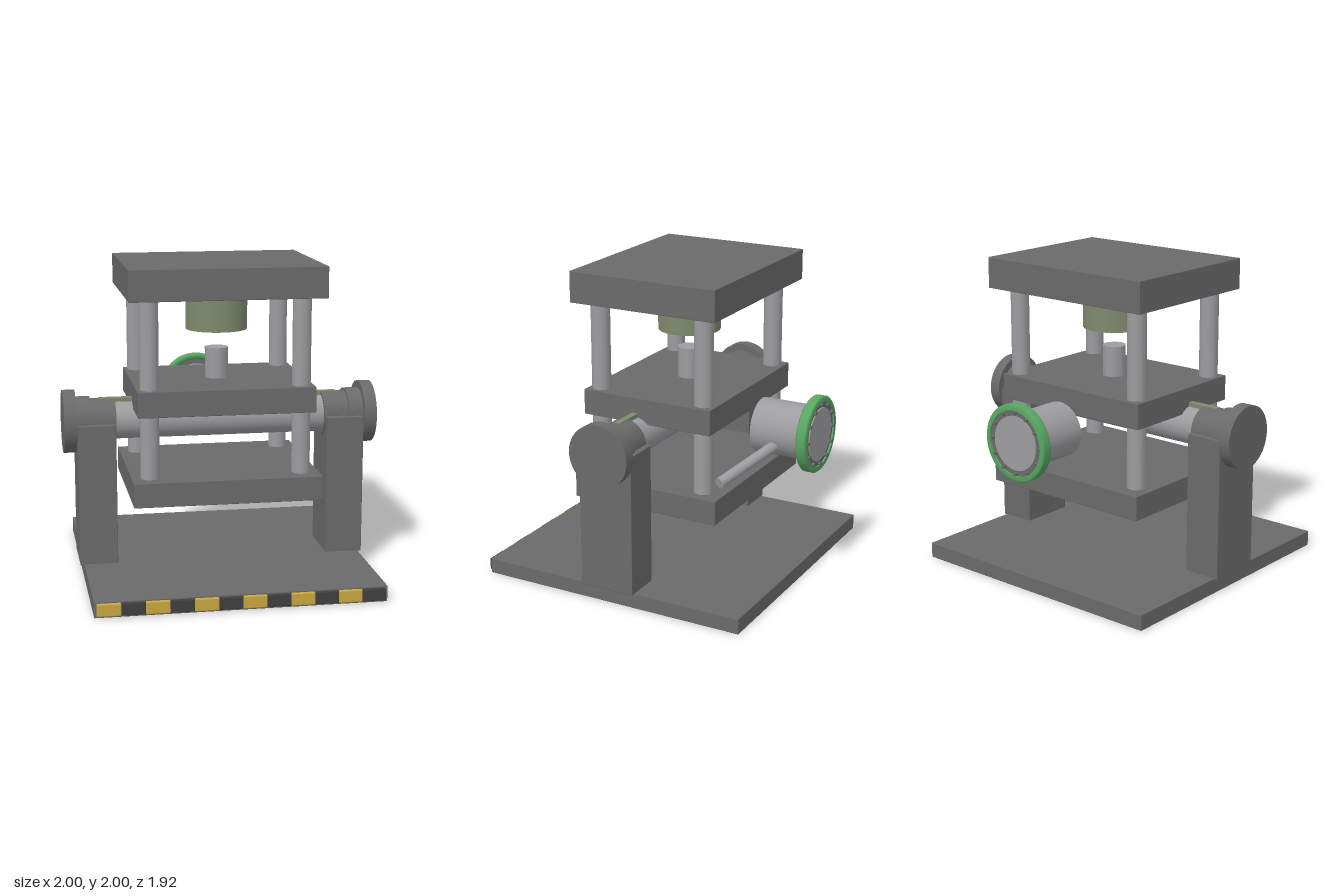
import * as THREE from 'three';
import { RoundedBoxGeometry } from 'three/addons/geometries/RoundedBoxGeometry.js';

const mat = (name, color) => {
  const m = new THREE.MeshStandardMaterial({ color });
  m.name = name;
  return m;
};

export function createModel() {
  const darkSteel = mat('dark steel', 0x6a6a6a);
  const polishedSteel = mat('polished steel', 0x9d9da0);
  const olive = mat('olive', 0x7f8a6c);
  const green = mat('green', 0x58a662);
  const yellow = mat('hazard yellow', 0xcaa840);
  const black = mat('hazard black', 0x404040);

  const model = new THREE.Group();
  model.name = 'tiltingPress';

  const add = (name, geometry, material, x = 0, y = 0, z = 0) => {
    const mesh = new THREE.Mesh(geometry, material);
    mesh.name = name;
    mesh.position.set(x, y, z);
    model.add(mesh);
    return mesh;
  };
  // Box given by its limits on each axis
  const box = (name, material, x0, x1, y0, y1, z0, z1, r = 0.004) =>
    add(name, new RoundedBoxGeometry(x1 - x0, y1 - y0, z1 - z0, 1, r), material,
      (x0 + x1) / 2, (y0 + y1) / 2, (z0 + z1) / 2);
  // Round bar between two points
  const bar = (name, material, a, b, r, sides = 40) => {
    const from = new THREE.Vector3(...a), to = new THREE.Vector3(...b);
    const dir = to.clone().sub(from);
    const mesh = add(name, new THREE.CylinderGeometry(r, r, dir.length(), sides), material);
    mesh.position.copy(from).add(to).multiplyScalar(0.5);
    mesh.quaternion.setFromUnitVectors(new THREE.Vector3(0, 1, 0), dir.normalize());
    return mesh;
  };

  // Base with hazard blocks along the front edge
  box('base', darkSteel, -0.893, 0.893, 0.005, 0.105, -0.85, 0.935);
  const step = 0.1465;
  for (let i = 0; i < 12; i++) {
    const x = -0.879 + i * step;
    box('hazardBlock', i % 2 ? black : yellow, x, x + step, 0.017, 0.095, 0.925, 0.955, 0.007);
  }

  // Three press plates
  box('topPlate', darkSteel, -0.615, 0.615, 1.803, 2, -0.535, 0.458);
  box('middlePlate', darkSteel, -0.56, 0.56, 1.08, 1.243, -0.478, 0.405);
  box('bottomPlate', darkSteel, -0.596, 0.596, 0.526, 0.682, -0.535, 0.46);

  // Guide columns
  for (const x of [-0.48, 0.48]) {
    for (const z of [-0.395, 0.325]) {
      bar('guideColumn', polishedSteel, [x, 0.6, z], [x, 1.85, z], 0.06, 12);
    }
  }

  // Upper cylinder and lower punch
  bar('upperCylinder', olive, [0, 1.56, -0.037], [0, 1.85, -0.037], 0.198);
  bar('punch', polishedSteel, [0, 1.15, -0.037], [0, 1.44, -0.037], 0.075, 10);

  // Trunnion shaft, with posts, hubs, keys and end flanges on both sides
  const axisY = 1, axisZ = 0.04;
  bar('shaft', polishedSteel, [-0.8, axisY, axisZ], [0.8, axisY, axisZ], 0.121);
  for (const s of [-1, 1]) {
    const xs = (a, b) => (s > 0 ? [a, b] : [-b, -a]);
    const ring = (name, a, b, r) =>
      bar(name, darkSteel, [s * a, axisY, axisZ], [s * b, axisY, axisZ], r);
    box('post', darkSteel, ...xs(0.677, 0.917), 0.1, 1.002, -0.138, 0.225);
    ring('hub', 0.67, 0.84, 0.141);
    ring('hubCollar', 0.828, 0.93, 0.156);
    ring('endFlange', 0.922, 1, 0.2);
    box('key', olive, ...xs(0.45, 0.772), 1.08, 1.146, 0.02, 0.06, 0.002);
  }

  // Rear drum, its bolted flange, green rim and light face
  bar('drum', polishedSteel, [0, 1, -0.556], [0, 1, -0.92], 0.173);
  bar('drumFlange', darkSteel, [0, 1, -0.9], [0, 1, -0.95], 0.212);
  bar('drumFace', polishedSteel, [0, 1, -0.94], [0, 1, -0.957], 0.17);
  const rimProfile = [[0.205, -0.034], [0.233, -0.034], [0.242, -0.025], [0.242, 0.025],
    [0.233, 0.034], [0.205, 0.034], [0.205, -0.034]].map(p => new THREE.Vector2(...p));
  const rim = add('greenRim', new THREE.LatheGeometry(rimProfile, 48), green, 0, 1, -0.927);
  rim.rotation.x = Math.PI / 2;
  for (let i = 0; i < 12; i++) {
    const a = (i * Math.PI) / 6;
    const x = 0.192 * Math.cos(a), y = 1 + 0.192 * Math.sin(a);
    bar('flangeBolt', darkSteel, [x, y, -0.885], [x, y, -0.968], 0.012, 8);
  }

  // Hand lever
  bar('lever', polishedSteel, [0.06, 0.948, -0.737], [0.594, 0.808, -0.563], 0.035, 12);

  return model;
}
